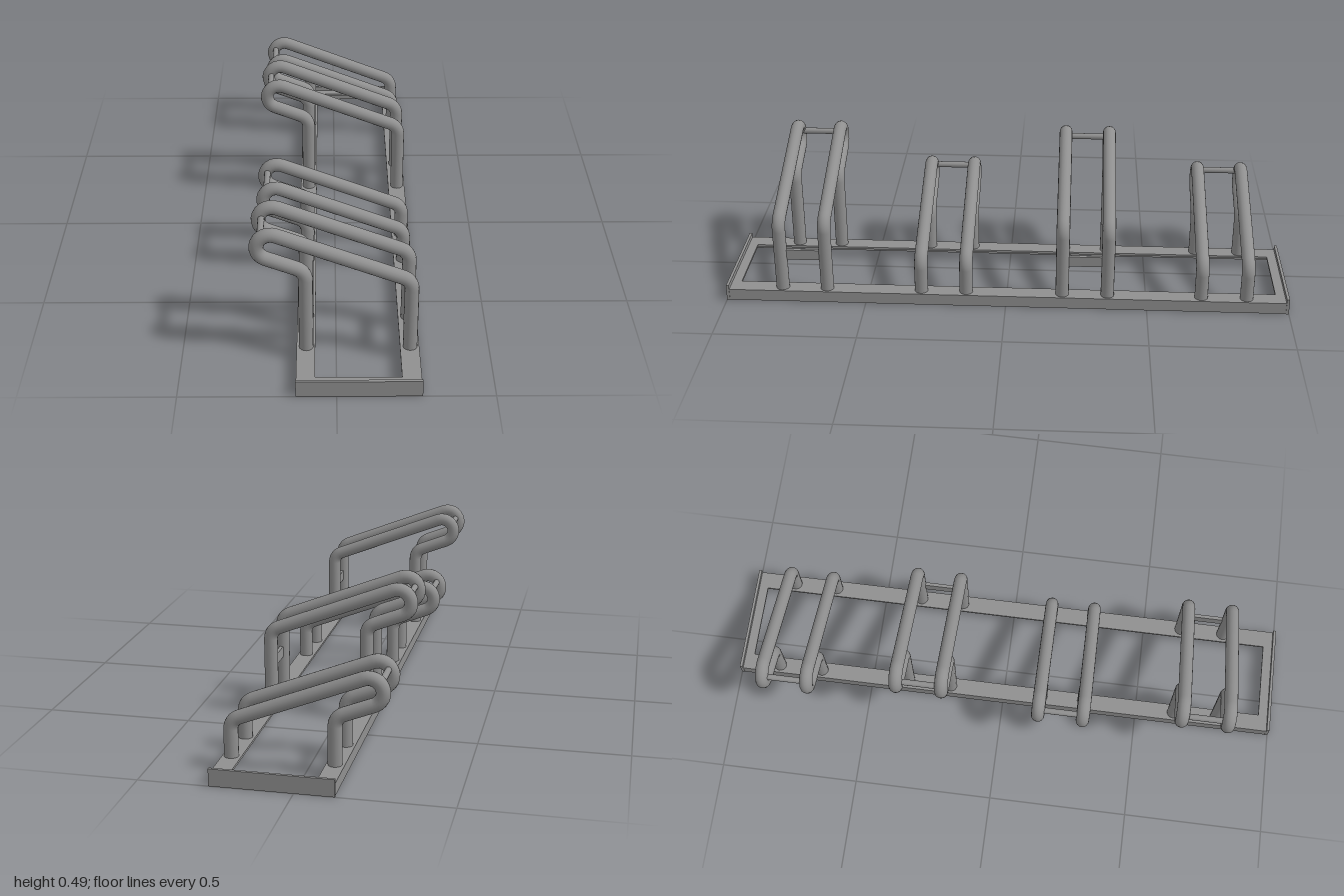
import * as THREE from 'three';

const steel = new THREE.MeshStandardMaterial({ color: 0x8f8f8f });
steel.name = 'galvanised steel';

const TUBE_R = 0.0235, BEND_R = 0.045, SLOPE = 0.375;
const PLATE_TOP = 0.042, PLATE_T = 0.008;

function add(group, name, geometry, x = 0, y = 0, z = 0) {
  const mesh = new THREE.Mesh(geometry, steel);
  mesh.name = name;
  mesh.position.set(x, y, z);
  group.add(mesh);
  return mesh;
}

// Box given by its limits on each axis
function addBox(group, name, x0, x1, y0, y1, z0, z1) {
  return add(group, name, new THREE.BoxGeometry(x1 - x0, y1 - y0, z1 - z0),
    (x0 + x1) / 2, (y0 + y1) / 2, (z0 + z1) / 2);
}

// Centre line of a bent hoop in the xy plane: straights and circular bends, walked in order
function hoopPath(drop) {
  const startY = PLATE_TOP - PLATE_T / 2;
  let x = -0.097, y = startY, a = Math.PI / 2;
  const path = [{ x, y, a }];
  const straight = (d) => {
    x += d * Math.cos(a);
    y += d * Math.sin(a);
    path.push({ x, y, a });
  };
  const bend = (turn, steps) => {
    const s = Math.sign(turn) * BEND_R;
    const cx = x - s * Math.sin(a), cy = y + s * Math.cos(a), a0 = a;
    for (let i = 1; i <= steps; i++) {
      a = a0 + turn * i / steps;
      x = cx + s * Math.sin(a);
      y = cy - s * Math.cos(a);
      path.push({ x, y, a });
    }
  };
  const corner = Math.PI / 2 - SLOPE;
  straight(0.3055 - drop - startY);
  bend(corner, 6);
  straight(0.102);
  bend(-Math.PI, 12);
  straight(0.427);
  bend(-corner, 6);
  straight(y - startY);
  return path;
}

// Round tube swept along a planar path
function sweepTube(path, radius, sides = 16) {
  const pos = [], nor = [], idx = [];
  path.forEach(({ x, y, a }, i) => {
    for (let j = 0; j <= sides; j++) {
      const t = j / sides * Math.PI * 2;
      const nx = -Math.sin(a) * Math.cos(t), ny = Math.cos(a) * Math.cos(t), nz = Math.sin(t);
      pos.push(x + nx * radius, y + ny * radius, nz * radius);
      nor.push(nx, ny, nz);
      if (i < path.length - 1 && j < sides) {
        const p = i * (sides + 1) + j, q = p + sides + 1;
        idx.push(p, p + 1, q, p + 1, q + 1, q);
      }
    }
  });
  const g = new THREE.BufferGeometry();
  g.setAttribute('position', new THREE.Float32BufferAttribute(pos, 3));
  g.setAttribute('normal', new THREE.Float32BufferAttribute(nor, 3));
  g.setIndex(idx);
  return g;
}

// Pair of hoops holding one wheel, joined by cross bars
function wheelHolder(tall) {
  const g = new THREE.Group();
  g.name = tall ? 'tallWheelHolder' : 'lowWheelHolder';
  const tube = sweepTube(hoopPath(tall ? 0 : 0.136), TUBE_R);
  for (const z of [-0.08, 0.08]) add(g, 'hoop', tube, 0, 0, z);
  const bar = new THREE.CylinderGeometry(0.011, 0.011, 0.16, 12);
  bar.rotateX(Math.PI / 2);
  add(g, 'noseCrossBar', bar, -0.238, tall ? 0.443 : 0.315, 0);
  if (tall) addBox(g, 'legCrossBar', 0.232, 0.244, 0.157, 0.195, -0.08, 0.08);
  return g;
}

// Frame of angle irons lying on the ground
function baseFrame() {
  const g = new THREE.Group();
  g.name = 'baseFrame';
  const low = PLATE_TOP - PLATE_T, lip = 0.01, end = 1 - lip;
  addBox(g, 'rightRailTop', -0.128, -0.068, low, PLATE_TOP, -end, end);
  addBox(g, 'rightRailSide', -0.128, -0.12, 0, low, -end, end);
  addBox(g, 'leftRailTop', 0.206, 0.268, low, PLATE_TOP, -end, end);
  addBox(g, 'leftRailSide', 0.26, 0.268, 0, low, -end, end);
  for (const s of [-1, 1]) {
    addBox(g, 'endPlate', -0.129, 0.27, 0, 0.058, s > 0 ? end : -1, s > 0 ? 1 : -end);
    addBox(g, 'endFlange', -0.068, 0.206, low, PLATE_TOP, s > 0 ? 0.957 : -end, s > 0 ? end : -0.957);
  }
  return g;
}

export function createModel() {
  const model = new THREE.Group();
  model.name = 'bicycleRack';
  model.add(baseFrame());
  [0.72, 0.222, -0.28, -0.772].forEach((z, i) => {
    const holder = wheelHolder(i % 2 === 0);
    holder.position.z = z;
    model.add(holder);
  });
  return model;
}
